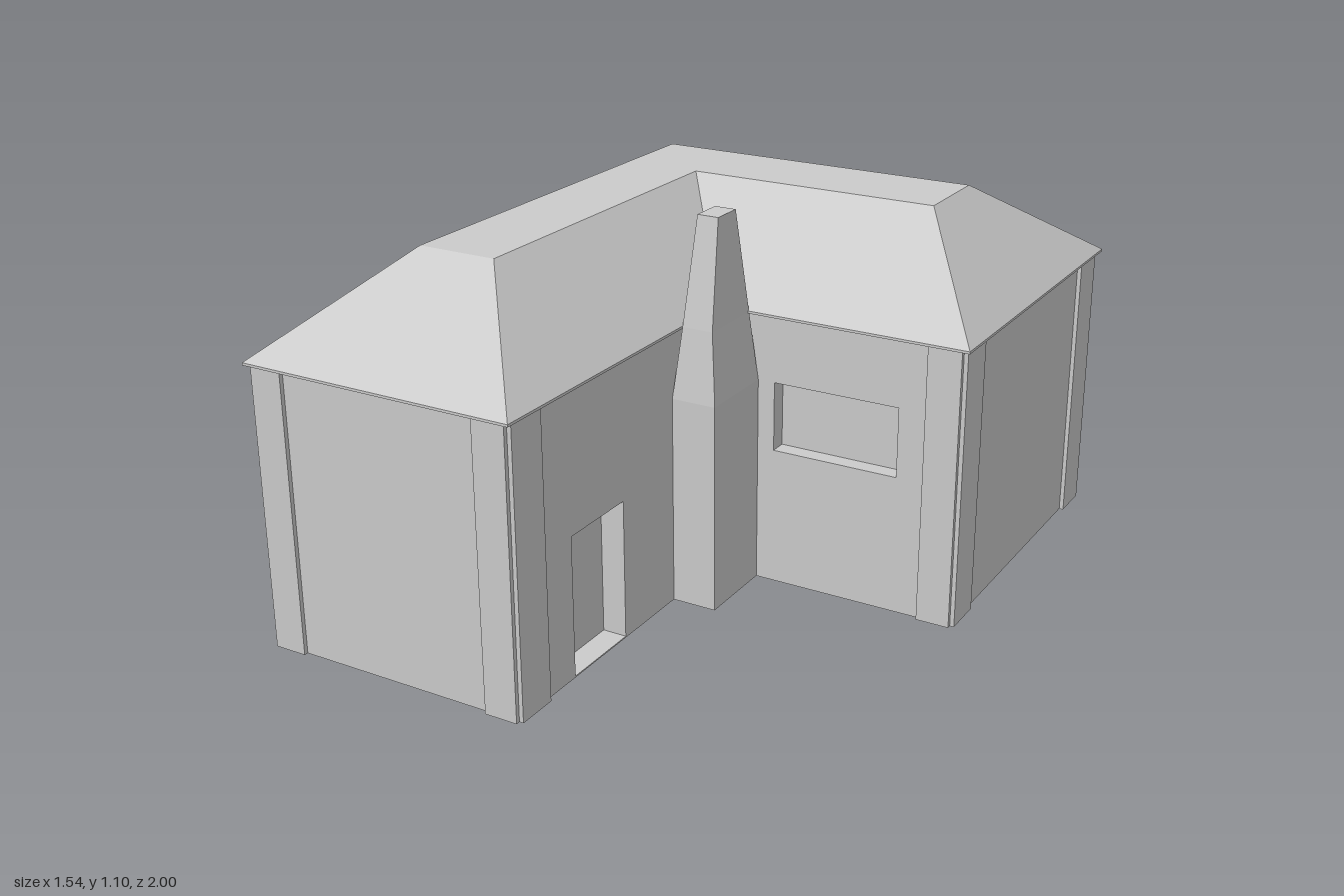
import * as THREE from 'three';

const material = new THREE.MeshStandardMaterial({ color: 0xcccccc, flatShading: true });

function add(parent, name, geometry) {
  const mesh = new THREE.Mesh(geometry, material);
  mesh.name = name;
  parent.add(mesh);
  return mesh;
}

// Plan outlines are lists of [x, z]
const planShape = (pts) => new THREE.Shape(pts.map(([x, z]) => new THREE.Vector2(x, -z)));

// Vertical prism over a plan outline
function prism(pts, y0, y1) {
  const g = new THREE.ExtrudeGeometry(planShape(pts), { depth: y1 - y0, bevelEnabled: false });
  return g.rotateX(-Math.PI / 2).translate(0, y0, 0);
}

// Flat upward-facing lid over a plan outline
const lid = (pts, y) => new THREE.ShapeGeometry(planShape(pts)).rotateX(-Math.PI / 2).translate(0, y, 0);

// Sloped skin joining plan outlines stacked at given heights
function skin(rings) {
  const pos = [];
  for (let k = 0; k + 1 < rings.length; k++) {
    const [lo, hi] = [rings[k], rings[k + 1]];
    const n = lo.pts.length;
    const at = (r, i) => [r.pts[i % n][0], r.y, r.pts[i % n][1]];
    for (let i = 0; i < n; i++) {
      pos.push(...at(lo, i), ...at(hi, i), ...at(hi, i + 1));
      pos.push(...at(lo, i), ...at(hi, i + 1), ...at(lo, i + 1));
    }
  }
  const g = new THREE.BufferGeometry();
  g.setAttribute('position', new THREE.Float32BufferAttribute(pos, 3));
  g.computeVertexNormals();
  return g;
}

// L-shaped plan, with optional extra points along the two inner walls
const ell = (xL, xIn, xR, zB, zIn, zF, wingNotch = [], frontNotch = []) => [
  [xL, zB], [xR, zB], [xR, zIn], ...wingNotch, [xIn, zIn], ...frontNotch, [xIn, zF], [xL, zF],
];
const rect = (x0, x1, z0, z1) => [[x0, z0], [x1, z0], [x1, z1], [x0, z1]];

export function createModel() {
  const house = new THREE.Group();
  house.name = 'house';

  // Walls in layers, with recesses for the door and the window
  const W = [-0.755, 0.02, 0.745, -0.98, 0, 0.977];
  const door = [[0.02, 0.49], [-0.05, 0.49], [-0.05, 0.73], [0.02, 0.73]];
  const win = [[0.57, 0], [0.57, -0.05], [0.2, -0.05], [0.2, 0]];
  const walls = new THREE.Group();
  walls.name = 'walls';
  house.add(walls);
  add(walls, 'floor', prism(ell(...W), 0, 0.004));
  add(walls, 'doorLevelWalls', prism(ell(...W, [], door), 0.004, 0.4));
  add(walls, 'windowLevelWalls', prism(ell(...W, win), 0.4, 0.6));
  add(walls, 'upperWalls', prism(ell(...W), 0.6, 0.796));

  // Corner pilasters: one slab on each face of every outer corner
  const t = 0.012, h = 0.796;
  const corners = [
    [-0.755, 0.977, -1, 1], [0.02, 0.977, 1, 1], [0.745, 0, 1, 1],
    [0.745, -0.98, 1, -1], [-0.755, -0.98, -1, -1],
  ];
  for (const [x, z, sx, sz] of corners) {
    const pilaster = new THREE.Group();
    pilaster.name = 'cornerPilaster';
    house.add(pilaster);
    add(pilaster, 'endSlab', new THREE.BoxGeometry(0.095, h, t))
      .position.set(x - sx * 0.0475, h / 2, z + sz * t / 2);
    add(pilaster, 'sideSlab', new THREE.BoxGeometry(t, h, 0.12))
      .position.set(x + sx * t / 2, h / 2, z - sz * 0.06);
  }

  // Hipped roof with a flat top and a thin eave
  const eave = ell(-0.77, 0.04, 0.77, -1, 0.025, 1);
  const top = ell(-0.49, -0.26, 0.49, -0.615, -0.365, 0.625);
  const roof = new THREE.Group();
  roof.name = 'roof';
  house.add(roof);
  add(roof, 'eave', prism(eave, 0.795, 0.802));
  add(roof, 'slopes', skin([{ pts: eave, y: 0.802 }, { pts: top, y: 1.05 }]));
  add(roof, 'flatTop', lid(top, 1.05));

  // Chimney in the inner corner, tapering above the window line
  const base = rect(0.02, 0.15, 0, 0.24);
  const crown = rect(0.055, 0.117, 0.073, 0.165);
  const chimney = new THREE.Group();
  chimney.name = 'chimney';
  house.add(chimney);
  add(chimney, 'stack', skin([
    { pts: base, y: 0 },
    { pts: base, y: 0.6 },
    { pts: rect(0.04, 0.13, 0.02, 0.218), y: 0.8 },
    { pts: crown, y: 1.095 },
  ]));
  add(chimney, 'crown', lid(crown, 1.095));
  add(chimney, 'foot', prism(base, 0, 0.004));

  return house;
}
